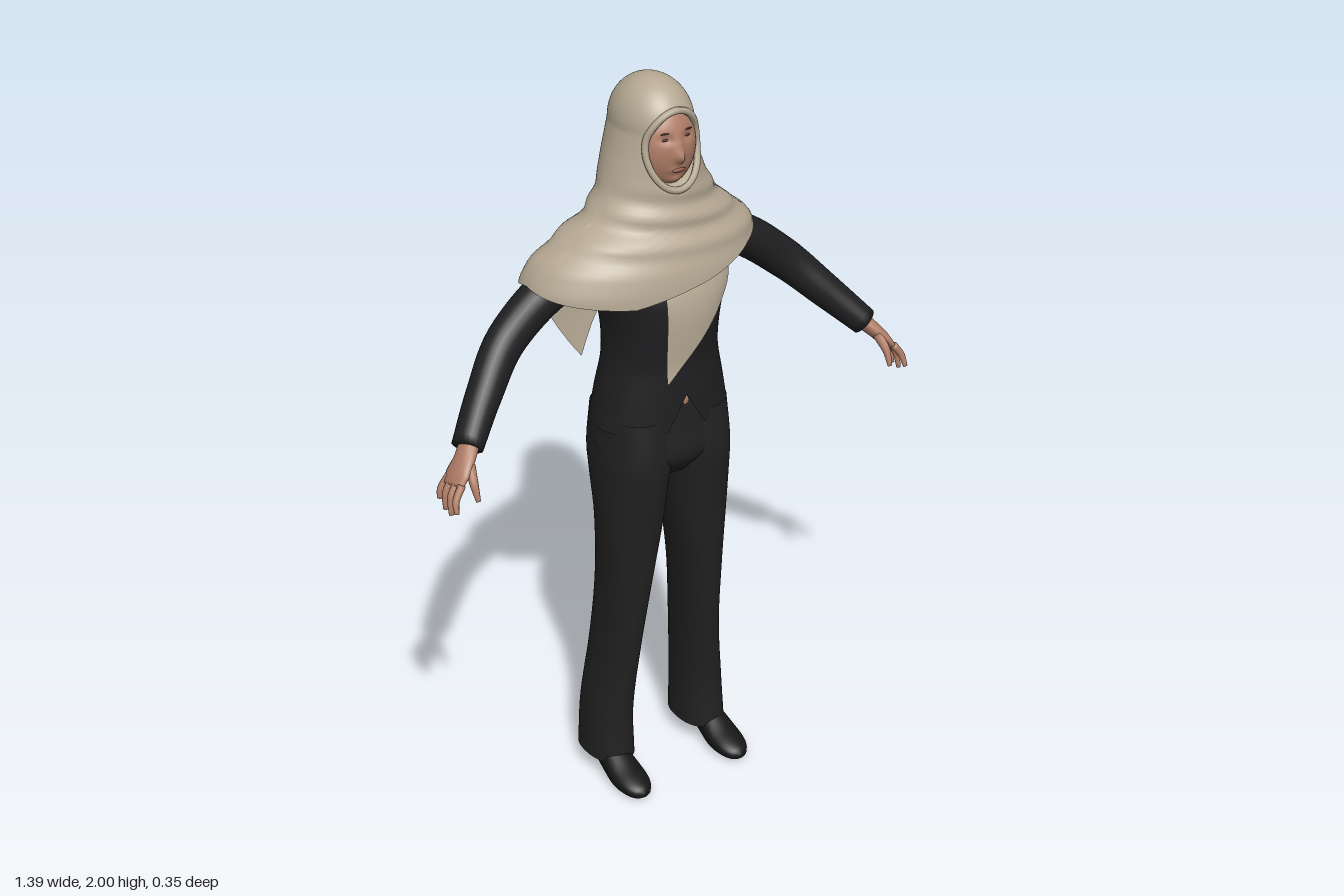
import * as THREE from 'three';

const mat = (name, color, side = THREE.FrontSide) => {
  const m = new THREE.MeshStandardMaterial({ color, side });
  m.name = name;
  return m;
};
const V = (x, y, z) => new THREE.Vector3(x, y, z);

// Skin a stack of closed rings (counterclockwise about the stacking direction).
function loft(rings, capped = false) {
  const n = rings[0].length, pos = [], idx = [];
  rings.forEach(r => r.forEach(p => pos.push(p.x, p.y, p.z)));
  for (let i = 0; i < rings.length - 1; i++) for (let j = 0; j < n; j++) {
    const k = (j + 1) % n, a = i * n + j, b = i * n + k, c = b + n, d = a + n;
    idx.push(a, b, c, a, c, d);
  }
  if (capped) [0, rings.length - 1].forEach((i, end) => {
    const m = V(0, 0, 0);
    rings[i].forEach(p => m.addScaledVector(p, 1 / n));
    const c = pos.length / 3;
    pos.push(m.x, m.y, m.z);
    for (let j = 0; j < n; j++) {
      const a = i * n + j, b = i * n + (j + 1) % n;
      end ? idx.push(c, a, b) : idx.push(c, b, a);
    }
  });
  const g = new THREE.BufferGeometry();
  g.setAttribute('position', new THREE.Float32BufferAttribute(pos, 3));
  g.setIndex(idx);
  g.computeVertexNormals();
  return g;
}

// Mirror a geometry across x = 0, keeping its faces outward.
function mirrored(g) {
  const m = g.clone().scale(-1, 1, 1), ix = m.index.array;
  for (let i = 0; i < ix.length; i += 3) [ix[i], ix[i + 1]] = [ix[i + 1], ix[i]];
  m.computeVertexNormals();
  return m;
}

// Smooth lookup in a table whose rows start with their key.
function lookup(table, y) {
  const last = table.length - 1;
  if (y <= table[0][0]) return table[0];
  if (y >= table[last][0]) return table[last];
  let i = 0;
  while (y > table[i + 1][0]) i++;
  const A = table[Math.max(0, i - 1)], B = table[i], C = table[i + 1], D = table[Math.min(last, i + 2)];
  const h = C[0] - B[0], t = (y - B[0]) / h;
  return B.map((b, k) => {
    const m0 = (C[k] - A[k]) / (C[0] - A[0]) * h, m1 = (D[k] - b) / (D[0] - B[0]) * h;
    return b + m0 * t + (3 * (C[k] - b) - 2 * m0 - m1) * t * t + (2 * (b - C[k]) + m0 + m1) * t * t * t;
  });
}

// Point on a body section; rows are [y, cx, rx, cz, zFront, zBack, powFront, powBack].
function bodyPoint(table, y, deg) {
  const [, cx, rx, cz, zf, zb, pf, pb] = lookup(table, y);
  const a = deg * Math.PI / 180, c = Math.cos(a), s = Math.sin(a), p = 2 / (s > 0 ? pf : pb);
  return V(cx + rx * Math.sign(c) * Math.abs(c) ** p, y, cz + Math.abs(s) ** p * (s > 0 ? zf - cz : zb - cz));
}
function frontZ(table, x, y) {
  const [, cx, rx, cz, zf, , pf] = lookup(table, y);
  return cz + (zf - cz) * Math.max(0, 1 - Math.abs((x - cx) / rx) ** pf) ** (1 / pf);
}
function body(table, hem, top, rows, change = p => p, ease = t => t) {
  const rings = [];
  for (let i = 0; i <= rows; i++) {
    const ring = [];
    for (let j = 0; j < 120; j++) {
      const deg = 360 - j * 3, h = hem(deg);
      ring.push(change(bodyPoint(table, h + (top - h) * ease(i / rows), deg), deg));
    }
    rings.push(ring);
  }
  return loft(rings);
}

// Tapered tube; radii are [alongZ, across] at each path point.
function limb(path, radii, n = 20, steps = 20) {
  const curve = new THREE.CatmullRomCurve3(path.map(p => V(...p)), false, 'catmullrom'), rings = [];
  for (let i = 0; i <= steps; i++) {
    const t = i / steps, f = t * (radii.length - 1), k = Math.min(radii.length - 2, Math.floor(f));
    const r = [0, 1].map(q => radii[k][q] + (radii[k + 1][q] - radii[k][q]) * (f - k));
    const c = curve.getPoint(t), d = curve.getTangent(t);
    const u = V(0, 0, 1).addScaledVector(d, -d.z).normalize(), v = d.clone().cross(u);
    rings.push(Array.from({ length: n }, (_, j) => {
      const a = j / n * Math.PI * 2;
      return c.clone().addScaledVector(u, r[0] * Math.cos(a)).addScaledVector(v, r[1] * Math.sin(a));
    }));
  }
  return loft(rings, true);
}

const JACKET = [
  [1.09, 0, .19, 0, .135, -.137, 2.2, 2.2], [1.18, 0, .174, 0, .132, -.125, 2.2, 2.2],
  [1.27, 0, .157, 0, .13, -.108, 2.2, 2.2], [1.35, 0, .155, 0, .142, -.115, 2.2, 2.2],
  [1.42, 0, .165, 0, .148, -.13, 2.2, 2.2], [1.48, 0, .185, -.01, .14, -.135, 2.2, 2.2],
  [1.54, 0, .17, -.02, .11, -.12, 2, 2], [1.58, 0, .09, -.02, .06, -.09, 2, 2]];
const PELVIS = [
  [.94, 0, .1, 0, .09, -.08, 2, 2], [1, 0, .178, 0, .133, -.122, 2.2, 2.2],
  [1.08, 0, .18, 0, .13, -.13, 2.2, 2.2], [1.2, 0, .155, 0, .122, -.11, 2.2, 2.2]];
const LEG = [
  [.055, .15, .065, -.035, .06, -.125, 2.3, 2.3], [.2, .146, .059, -.035, .055, -.124, 2.3, 2.3],
  [.4, .128, .053, -.02, .075, -.11, 2.2, 2.2], [.6, .114, .061, 0, .098, -.092, 2.2, 2.2],
  [.8, .101, .081, .01, .115, -.09, 2.2, 2.2], [.93, .095, .091, 0, .13, -.115, 2.2, 2.2],
  [1, .09, .096, 0, .136, -.133, 2.2, 2.2], [1.12, .08, .098, 0, .125, -.125, 2.2, 2.2]];
const SCARF = [
  [1.2, -.02, .325, -.045, .165, -.155, 2, 3], [1.4, -.025, .33, -.045, .168, -.174, 2, 3],
  [1.5, -.025, .335, -.045, .166, -.166, 2, 3], [1.55, -.02, .318, -.045, .156, -.152, 2, 3],
  [1.6, -.01, .278, -.04, .14, -.138, 2, 2.6], [1.65, -.005, .208, -.03, .118, -.136, 2, 2.2],
  [1.7, 0, .163, -.03, .102, -.14, 2, 2], [1.8, -.004, .121, -.03, .093, -.155, 2, 2],
  [1.88, 0, .1, -.03, .092, -.157, 2, 2]];
// Scarf hem height by angle: 0 left side, 90 front, 180 right side, 270 back.
const HEM = [[0, 1.57], [45, 1.545], [75, 1.51], [114, 1.475], [150, 1.495], [180, 1.515], [213, 1.49],
  [231, 1.44], [258, 1.21], [282, 1.53], [294, 1.38], [330, 1.5], [360, 1.57]];
function hemAt(deg) {
  const i = Math.max(1, HEM.findIndex(h => h[0] >= deg)), [a, y] = HEM[i - 1], [b, z] = HEM[i];
  return y + (z - y) * (deg - a) / (b - a);
}
const FACE_Y = 1.838;

// Round the crown, add neck folds and sink the face opening.
function shapeScarf(p, deg) {
  if (p.y > 1.88) {
    const k = Math.sqrt(Math.max(0, 1 - ((p.y - 1.88) / .12) ** 2));
    p.x *= k;
    p.z = -.03 + (p.z + .03) * k;
  }
  const fold = .007 * Math.exp(-(((p.y - 1.65) / .07) ** 2)) * Math.sin(p.y * 95 + 2.5 * Math.cos(deg * Math.PI / 180));
  p.x *= 1 + fold * 3;
  p.z += fold * Math.sign(p.z);
  const d = Math.hypot(p.x / .077, (p.y - FACE_Y) / .1);
  if (p.z > 0 && d < 1) p.z -= .055 * Math.min(1, (1 - d) * 6);
  return p;
}

// Depth of the face surface.
function faceZ(x, y) {
  const bump = (h, cx, cy, sx, sy) => h * Math.exp(-(((x - cx) / sx) ** 2) - ((y - cy) / sy) ** 2);
  const d2 = (x / .084) ** 2 + ((y - FACE_Y) / .112) ** 2;
  return .094 * Math.max(0, 1 - d2) ** .35 + bump(.02, 0, 1.823, .011, .016) + bump(.008, 0, 1.85, .009, .025)
    + bump(-.008, .03, 1.87, .017, .011) + bump(-.008, -.03, 1.87, .017, .011)
    + bump(.006, 0, 1.789, .02, .009) + bump(.008, 0, 1.758, .022, .012);
}

export function createModel() {
  const model = new THREE.Group();
  model.name = 'womanInHeadscarf';
  const scarf = mat('scarf beige', 0xb5a893, THREE.DoubleSide), jacketM = mat('jacket black', 0x1f1f21, THREE.DoubleSide);
  const trouserM = mat('trouser black', 0x212122, THREE.DoubleSide), shoeM = mat('shoe black', 0x161617);
  const skin = mat('skin', 0xb07e67), lipM = mat('lips', 0x91584c), eyeM = mat('eye brown', 0x4a332b);
  const add = (name, geo, m) => {
    const mesh = new THREE.Mesh(geo, m);
    mesh.name = name;
    model.add(mesh);
    return mesh;
  };
  const pair = (name, geo, m) => {
    add('left' + name, geo, m);
    add('right' + name, mirrored(geo), m);
  };

  // Headscarf with pointed back hem
  add('headscarf', body(SCARF, hemAt, 2, 72, shapeScarf, t => Math.sin(t * Math.PI / 2)), scarf);
  const rim = Array.from({ length: 40 }, (_, i) => {
    const a = i / 40 * Math.PI * 2, x = .077 * Math.cos(a), y = FACE_Y + .1 * Math.sin(a);
    const k = y > 1.88 ? Math.sqrt(1 - ((y - 1.88) / .12) ** 2) : 1;
    return V(x, y, -.03 + (frontZ(SCARF, x / k, y) + .03) * k);
  });
  add('scarfFaceEdge', new THREE.TubeGeometry(new THREE.CatmullRomCurve3(rim, true), 80, .009, 8, true), scarf);

  // Hanging front point of the scarf
  const flap = new THREE.PlaneGeometry(1, 1, 16, 16), fp = flap.attributes.position;
  for (let i = 0; i < fp.count; i++) {
    const u = fp.getX(i) + .5, t = .5 - fp.getY(i), y = 1.535 - .295 * t;
    const x = -.072 + u * .265 * (1 - t);
    fp.setXYZ(i, x, y, frontZ(JACKET, x, y) + .012 + .022 * t * t);
  }
  flap.computeVertexNormals();
  add('scarfFrontPoint', flap, scarf);

  // Face
  const face = new THREE.SphereGeometry(1, 64, 56), p = face.attributes.position;
  for (let i = 0; i < p.count; i++) {
    const x = p.getX(i) * .084, y = FACE_Y + p.getY(i) * .112, z = p.getZ(i);
    p.setXYZ(i, x, y, z > .01 ? faceZ(x, y) : z * .06);
  }
  face.computeVertexNormals();
  add('face', face, skin);
  const spot = (name, x, y, rx, ry, m) => {
    const s = add(name, new THREE.SphereGeometry(1, 16, 10), m);
    s.scale.set(rx, ry, .004);
    s.position.set(x, y, faceZ(x, y) - .001);
  };
  for (const [side, s] of [['left', 1], ['right', -1]]) {
    spot(side + 'Eye', s * .03, 1.869, .011, .0035, eyeM);
    spot(side + 'Brow', s * .031, 1.886, .015, .002, eyeM);
  }
  spot('lips', 0, 1.789, .019, .006, lipM);

  // Jacket with a split at the front hem
  const jacketHem = deg => 1.09 + .095 * Math.max(0, 1 - Math.abs(deg - 90) / 15);
  add('jacket', body(JACKET, jacketHem, 1.58, 32), jacketM);
  const belly = add('bellySkin', new THREE.SphereGeometry(1, 12, 8), skin);
  belly.scale.set(.009, .013, .003);
  belly.position.set(0, 1.168, .126);
  pair('Sleeve', limb([[.15, 1.515, -.05], [.28, 1.493, -.05], [.42, 1.39, -.042], [.52, 1.29, .012], [.608, 1.198, .075]],
    [[.058, .055], [.056, .056], [.049, .053], [.045, .046], [.042, .038]], 24, 28), jacketM);

  // Trousers
  add('trouserSeat', body(PELVIS, () => .94, 1.2, 14), trouserM);
  pair('TrouserLeg', body(LEG, () => .055, 1.12, 36), trouserM);

  // Hands
  pair('Palm', limb([[.595, 1.21, .068], [.625, 1.178, .09], [.65, 1.15, .1], [.67, 1.125, .108]],
    [[.028, .023], [.034, .02], [.042, .017], [.038, .011]], 16, 12), skin);
  for (let i = 0; i < 4; i++) {
    const z = .138 - .021 * i, tipY = [1.075, 1.06, 1.063, 1.08][i];
    pair('Finger' + (i + 1), limb([[.662, 1.138, z], [.684, 1.105, z + .008 - i * .004], [.69, tipY, z + .02 - i * .007]],
      [[.0105, .0105], [.0095, .0095], [.006, .006]], 10, 8), skin);
  }
  pair('Thumb', limb([[.625, 1.17, .115], [.632, 1.135, .145], [.632, 1.095, .164]],
    [[.015, .014], [.012, .011], [.006, .006]], 10, 8), skin);

  // Heeled shoes; rows are [z, bottom, top, half width]
  const shoe = [[-.107, .055, .085, .015], [-.09, .045, .12, .033], [-.04, .042, .12, .037], [.03, .01, .092, .042],
    [.09, 0, .062, .048], [.14, 0, .045, .041], [.167, .002, .032, .024], [.176, .008, .02, .006]];
  const shoeRings = Array.from({ length: 25 }, (_, i) => {
    const z = -.107 + .283 * Math.sin(i / 24 * Math.PI / 2), [, lo, hi, w] = lookup(shoe, z);
    return Array.from({ length: 24 }, (_, j) => {
      const a = j / 24 * Math.PI * 2, s = Math.sin(a);
      return V(.16 + w * Math.cos(a), (lo + hi) / 2 + (hi - lo) / 2 * Math.sign(s) * Math.abs(s) ** (s < 0 ? .5 : 1), z);
    });
  });
  pair('Shoe', loft(shoeRings, true), shoeM);
  pair('Heel', new THREE.CylinderGeometry(.02, .012, .07, 14).translate(.16, .035, -.088), shoeM);
  return model;
}
